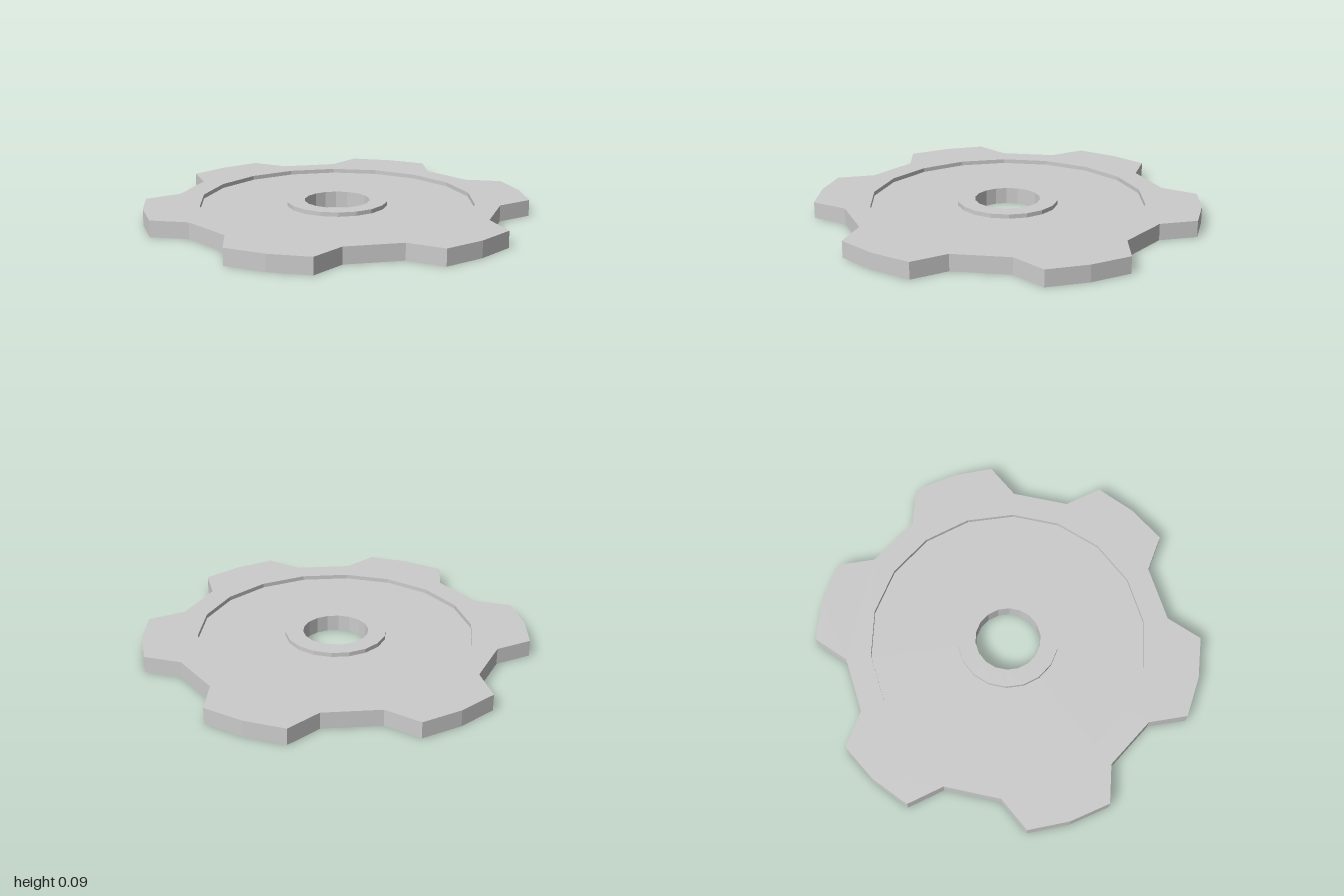
import * as THREE from 'three';

const HEIGHT = 0.085, RECESS = 0.022, SIDES = 18, TEETH = 6;
const ROOT_R = 0.843, TIP_R = 1.001, WEB_R = 0.715, HUB_R = 0.262, BORE_R = 0.17;

const polar = (r, deg) => {
  const a = THREE.MathUtils.degToRad(deg);
  return new THREE.Vector2(r * Math.cos(a), r * Math.sin(a));
};

export function createModel() {
  const group = new THREE.Group();
  group.name = 'gearWheel';
  const material = new THREE.MeshStandardMaterial({ color: 0xcccccc, flatShading: true });

  // Toothed rim: each tooth has two roots and a three-point tip
  const outline = [];
  for (let i = 0; i < TEETH; i++) {
    const mid = 20 + i * 360 / TEETH;
    outline.push(
      polar(ROOT_R, mid - 20), polar(TIP_R, mid - 12.4), polar(TIP_R, mid),
      polar(TIP_R, mid + 12.4), polar(ROOT_R, mid + 20)
    );
  }
  const shape = new THREE.Shape(outline);
  const opening = [];
  for (let i = 0; i < SIDES; i++) opening.push(polar(WEB_R, -i * 360 / SIDES));
  shape.holes.push(new THREE.Path(opening));
  const rimGeometry = new THREE.ExtrudeGeometry(shape, { depth: HEIGHT, bevelEnabled: false });
  rimGeometry.rotateX(-Math.PI / 2);
  const rim = new THREE.Mesh(rimGeometry, material);
  rim.name = 'toothedRim';
  group.add(rim);

  // Web recessed on both faces, with a full-height bored hub
  const top = HEIGHT - RECESS;
  const profile = [
    [WEB_R, top], [HUB_R, top], [HUB_R, HEIGHT], [BORE_R, HEIGHT],
    [BORE_R, 0], [HUB_R, 0], [HUB_R, RECESS], [WEB_R, RECESS]
  ].map(([r, y]) => new THREE.Vector2(r, y));
  const web = new THREE.Mesh(new THREE.LatheGeometry(profile, SIDES, Math.PI / 2), material);
  web.name = 'webAndHub';
  group.add(web);

  return group;
}
